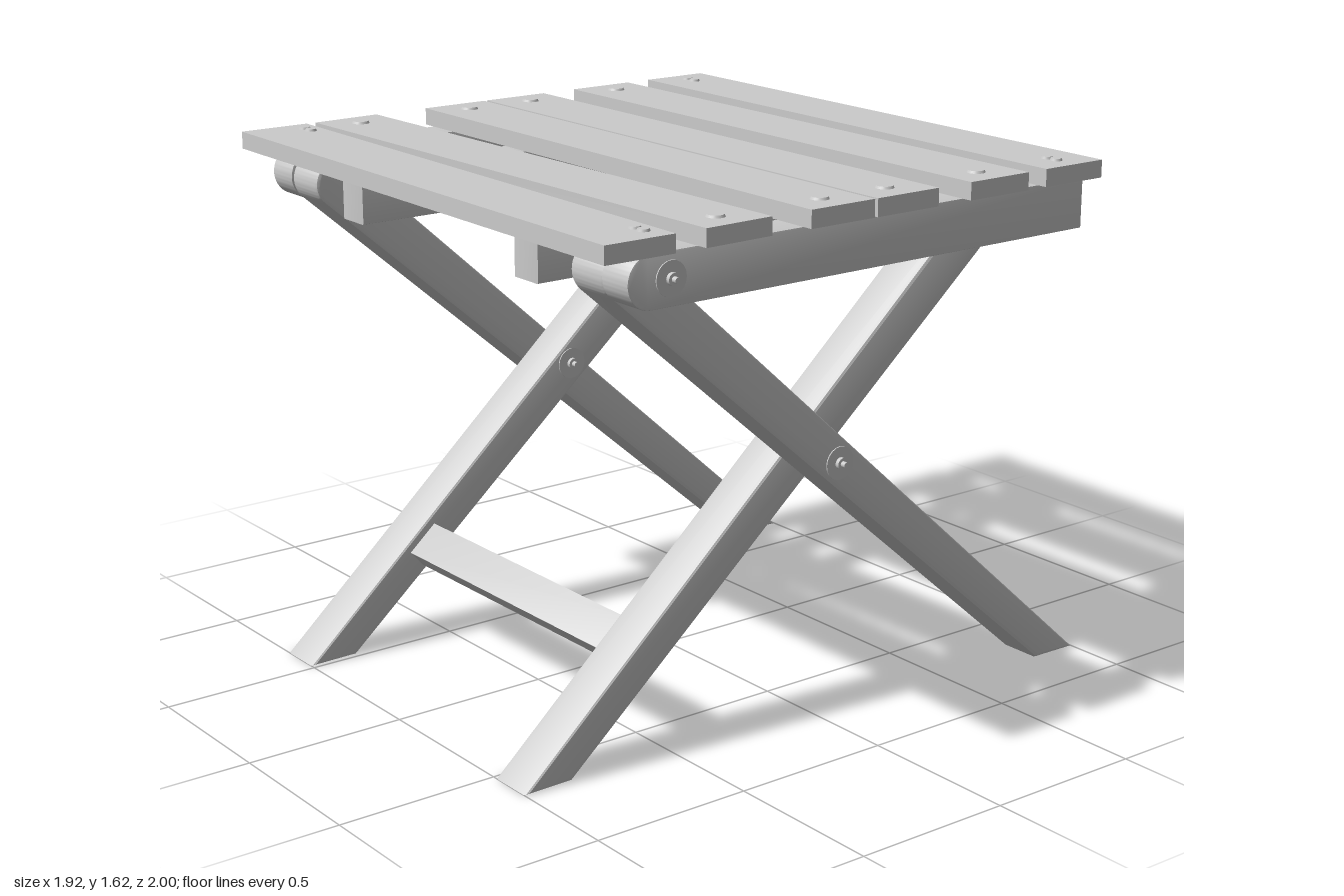
import * as THREE from 'three';
import { toCreasedNormals } from 'three/addons/utils/BufferGeometryUtils.js';

const grey = new THREE.MeshStandardMaterial({ color: 0xcccccc });

// Side profile drawn in (z, y), given a width along x and softly bevelled edges
function board(shape, width, bevel = 0.01) {
  const g = new THREE.ExtrudeGeometry(shape, {
    depth: width - 2 * bevel, bevelEnabled: true, bevelSize: bevel,
    bevelThickness: bevel, bevelOffset: -bevel, bevelSegments: 2, curveSegments: 20,
  });
  g.translate(0, 0, bevel - width / 2);
  g.rotateY(-Math.PI / 2);
  return toCreasedNormals(g, 0.6);
}

function add(parent, name, geometry, x = 0, y = 0, z = 0) {
  const mesh = new THREE.Mesh(geometry, grey);
  mesh.name = name;
  mesh.position.set(x, y, z);
  parent.add(mesh);
  return mesh;
}

// Tapered leg: slanted foot at the back, round pivot end at the top front
function legGeometry() {
  const s = new THREE.Shape();
  s.moveTo(-1.0, 0.005);
  s.lineTo(-0.84, 0.005);
  s.absarc(0.757, 1.48, 0.075, -0.86, 2.3, false);
  s.closePath();
  return board(s, 0.147, 0.012);
}

// Seat rail: square at the back, round at the front
function railGeometry() {
  const s = new THREE.Shape();
  s.moveTo(-0.83, 1.56);
  s.lineTo(-0.83, 1.408);
  s.absarc(0.759, 1.484, 0.076, -Math.PI / 2, Math.PI / 2, false);
  s.closePath();
  return board(s, 0.113, 0.004);
}

// Washer, nut and bolt tip pointing towards dir along x
function addBolt(parent, x, y, z, dir) {
  const bolt = new THREE.Group();
  bolt.name = 'bolt';
  [['washer', 0.05, 0.004], ['nut', 0.018, 0.016], ['boltTip', 0.009, 0.032]].forEach(([name, r, h]) => {
    const g = new THREE.CylinderGeometry(r, r, h, 20);
    g.translate(0, h / 2, 0);
    add(bolt, name, g);
  });
  bolt.rotation.z = -dir * Math.PI / 2;
  bolt.position.set(x, y, z);
  parent.add(bolt);
}

export function createModel() {
  const model = new THREE.Group();
  model.name = 'foldingStool';
  const leg = legGeometry(), rail = railGeometry();

  // Crossed legs, rails and pivots on each side
  for (const s of [1, -1]) {
    add(model, 'outerLeg', leg, s * 0.735);
    add(model, 'innerLeg', leg, s * 0.585).rotation.y = Math.PI;
    add(model, 'outerRail', rail, s * 0.864);
    add(model, 'innerRail', rail, s * 0.453).rotation.y = Math.PI;
    addBolt(model, s * 0.92, 1.485, 0.695, s);
    addBolt(model, s * 0.397, 1.485, -0.695, -s);
    addBolt(model, s * 0.808, 0.815, 0, s);
    addBolt(model, s * 0.512, 0.815, 0, -s);
  }

  // Crossbar between the inner legs, lying along their slope
  const bar = new THREE.Shape();
  bar.moveTo(-0.06, -0.033);
  bar.lineTo(0.06, -0.033);
  bar.lineTo(0.06, 0.033);
  bar.lineTo(-0.06, 0.033);
  bar.closePath();
  add(model, 'crossbar', board(bar, 1.03, 0.008), 0, 0.315, 0.565).rotation.x = 0.72;

  // Seat slats: centre z at the left and right ends, and nails per end
  const slats = [
    [-0.77, -0.754, 2], [-0.455, -0.455, 1], [-0.104, -0.104, 1],
    [0.134, 0.134, 1], [0.545, 0.494, 1], [0.802, 0.82, 2],
  ];
  for (const [z0, z1, nails] of slats) {
    const slat = new THREE.Group();
    slat.name = 'slat';
    add(slat, 'slatBoard', new THREE.BoxGeometry(1.918, 0.053, 0.227));
    slat.position.set(-0.003, 1.5865, (z0 + z1) / 2);
    slat.rotation.y = -Math.atan2(z1 - z0, 1.918);
    model.add(slat);

    const r = nails === 2 ? 0.019 : 0.028;
    for (const s of [1, -1]) {
      for (let i = 0; i < nails; i++) {
        const x = s * 0.865 + (nails === 2 ? (i - 0.5) * 0.038 : 0);
        const z = nails === 2 ? (z0 > 0 ? -0.065 : 0) : 0.005;
        add(slat, 'nailHead', new THREE.CylinderGeometry(r * 0.85, r, 0.008, 20), x, 0.0295, z);
      }
    }
  }
  return model;
}
